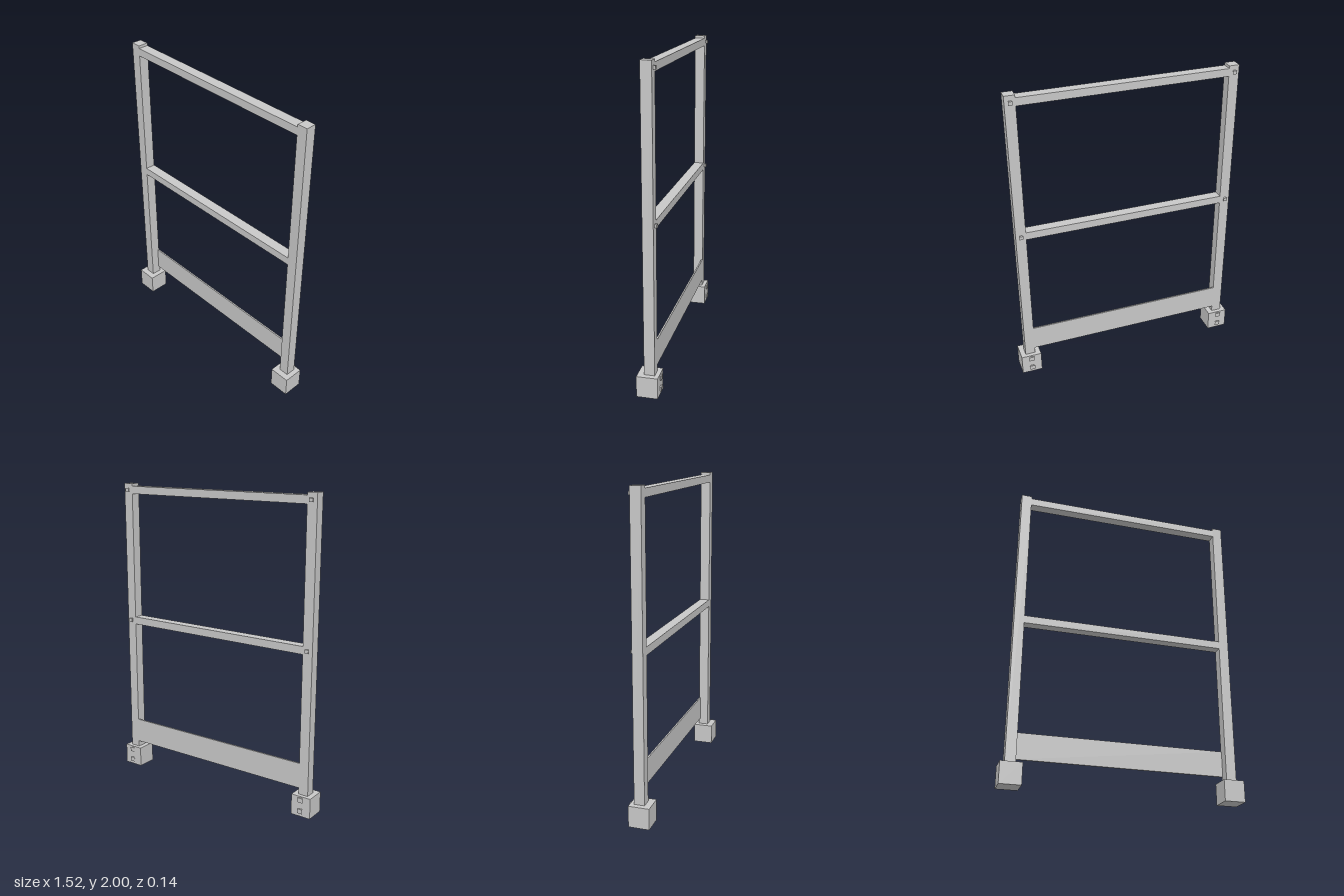
import * as THREE from 'three';

export function createModel() {
  const model = new THREE.Group();
  model.name = 'guardRail';
  const grey = new THREE.MeshStandardMaterial({ color: 0xc8c8c8 });
  grey.name = 'lightGrey';

  // Box given by its minimum and maximum corners
  function box(name, [x0, y0, z0], [x1, y1, z1], parent = model) {
    const mesh = new THREE.Mesh(new THREE.BoxGeometry(x1 - x0, y1 - y0, z1 - z0), grey);
    mesh.name = name;
    mesh.position.set((x0 + x1) / 2, (y0 + y1) / 2, (z0 + z1) / 2);
    parent.add(mesh);
  }

  // Square bolt head on a back face, widening sideways towards its outer end
  function bolt(name, x, y, z, half, depth, parent) {
    const geometry = new THREE.BoxGeometry(2 * half, 2 * half, depth);
    const pos = geometry.attributes.position;
    for (let i = 0; i < pos.count; i++) {
      if (pos.getZ(i) > 0) pos.setX(i, pos.getX(i) * 0.6);
      else pos.setX(i, pos.getX(i) * 1.2);
    }
    geometry.computeVertexNormals();
    const mesh = new THREE.Mesh(geometry, grey);
    mesh.name = name;
    mesh.position.set(x, y, z - depth / 2);
    parent.add(mesh);
  }

  const postX = 0.695, postHalf = 0.033;
  const front = 0.031, back = -0.035, footBack = -0.061;
  const inner = postX - postHalf;

  // Posts with footing blocks and bolt heads on the back
  for (const side of [1, -1]) {
    const upright = new THREE.Group();
    upright.name = side > 0 ? 'leftUpright' : 'rightUpright';
    model.add(upright);
    const cx = side * postX;
    box('post', [cx - postHalf, 0.13, back], [cx + postHalf, 2, front], upright);
    const footX = side * 0.694;
    box('footing', [footX - 0.067, 0, footBack], [footX + 0.067, 0.135, 0.071], upright);

    for (const y of [1.958, 1.07]) bolt('railBolt', cx, y, back, 0.011, 0.015, upright);
    for (const y of [0.112, 0.037]) bolt('footingBolt', cx, y, footBack, 0.015, 0.01, upright);
  }

  // Horizontal rails, as deep as the posts
  box('topRail', [-inner, 1.933, back], [inner, 1.983, front]);
  box('midRail', [-inner, 1.044, back], [inner, 1.094, front]);

  // Thin toe board flush with the back of the posts
  box('toeBoard', [-inner, 0.176, back], [inner, 0.341, back + 0.01]);

  return model;
}
